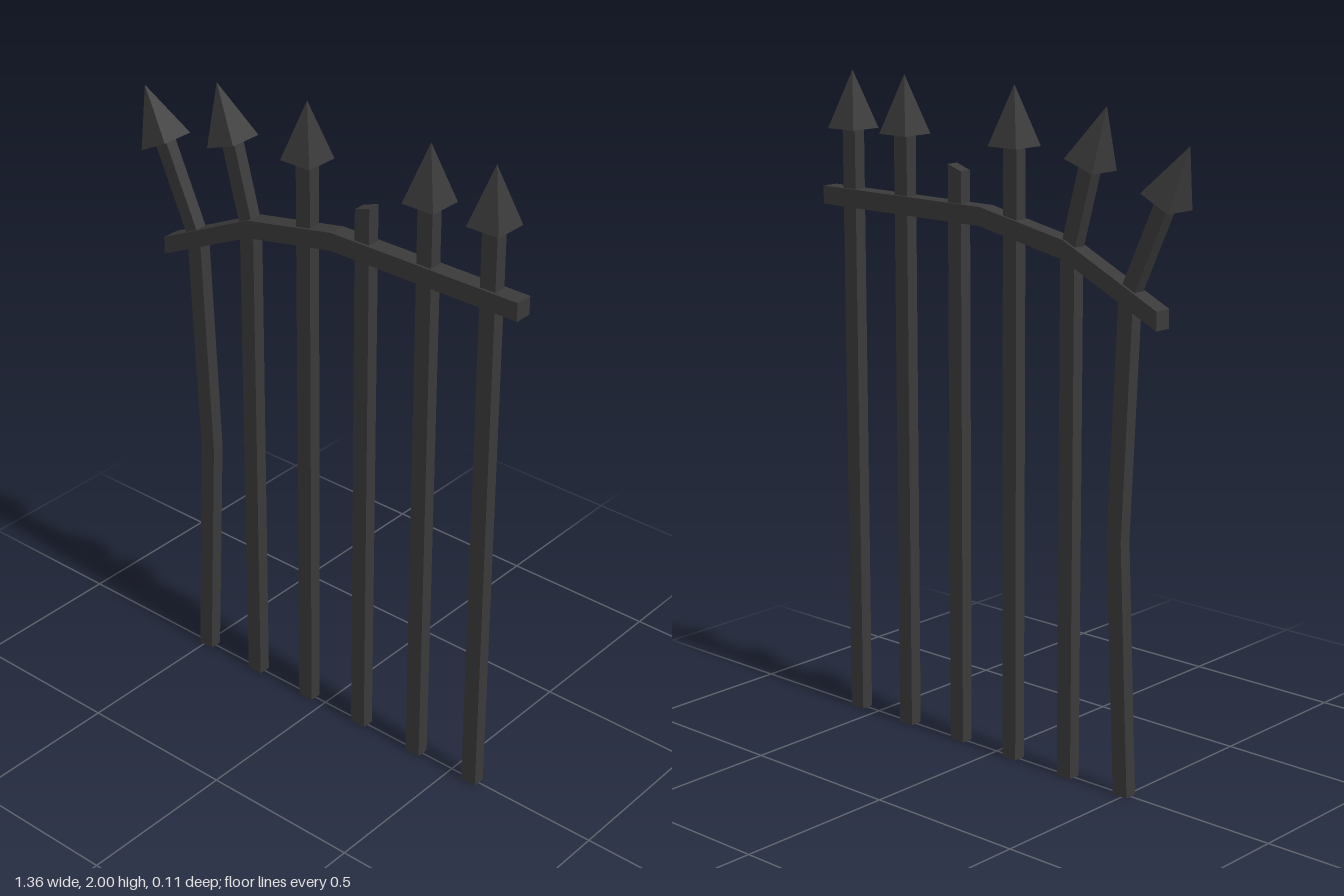
import * as THREE from 'three';

const iron = new THREE.MeshStandardMaterial({ color: 0x3a3a3a, flatShading: true });
iron.name = 'darkIron';

export function createModel() {
  const fence = new THREE.Group();
  fence.name = 'fencePanel';

  const add = (geometry, name, parent = fence) => {
    const mesh = new THREE.Mesh(geometry, iron);
    mesh.name = name;
    parent.add(mesh);
    return mesh;
  };

  // Extrude an outline in the xy plane, centred on z = 0
  const plate = (points, depth) => {
    const shape = new THREE.Shape(points.map(([x, y]) => new THREE.Vector2(x, y)));
    return new THREE.ExtrudeGeometry(shape, { depth, bevelEnabled: false }).translate(0, 0, -depth / 2);
  };

  // Bent strip around a centre line, offset by (dx, dy) to both sides
  const strip = (line, dx, dy, depth) => plate([
    ...line.map(([x, y]) => [x + dx, y + dy]),
    ...line.map(([x, y]) => [x - dx, y - dy]).reverse(),
  ], depth);

  // Top rail, sagging towards one end
  add(strip([[-0.603, 1.403], [-0.27, 1.56], [0.042, 1.62], [0.68, 1.62]], 0, 0.0275, 0.055), 'topRail');

  // Bars: centre line, spike base and spike lean
  const straight = (x) => ({ line: [[x, 0], [x, 1.85]], base: [x, 1.827], lean: 0 });
  const bars = [
    { line: [[-0.492, 0], [-0.458, 0.757], [-0.49, 1.46], [-0.626, 1.761]], base: [-0.608, 1.725], lean: 0.46 },
    { line: [[-0.28, 0], [-0.28, 1.56], [-0.353, 1.83]], base: [-0.344, 1.8], lean: 0.33 },
    straight(-0.066),
    straight(0.362),
    straight(0.576),
  ];
  bars.forEach(({ line, base, lean }, i) => {
    const picket = new THREE.Group();
    picket.name = `picket${i + 1}`;
    fence.add(picket);
    add(strip(line, 0.0255, 0, 0.039), 'bar', picket);

    // Four-sided spear point
    const point = new THREE.ConeGeometry(0.053 * Math.SQRT2, 0.173, 4)
      .rotateY(Math.PI / 4)
      .translate(0, 0.0865, 0);
    const spike = add(point, 'spike', picket);
    spike.position.set(base[0], base[1], 0);
    spike.rotation.z = lean;
  });

  // Broken bar with a slanted top and no spike
  add(plate([[0.121, 0], [0.172, 0], [0.172, 1.758], [0.121, 1.741]], 0.039), 'brokenBar');

  return fence;
}
